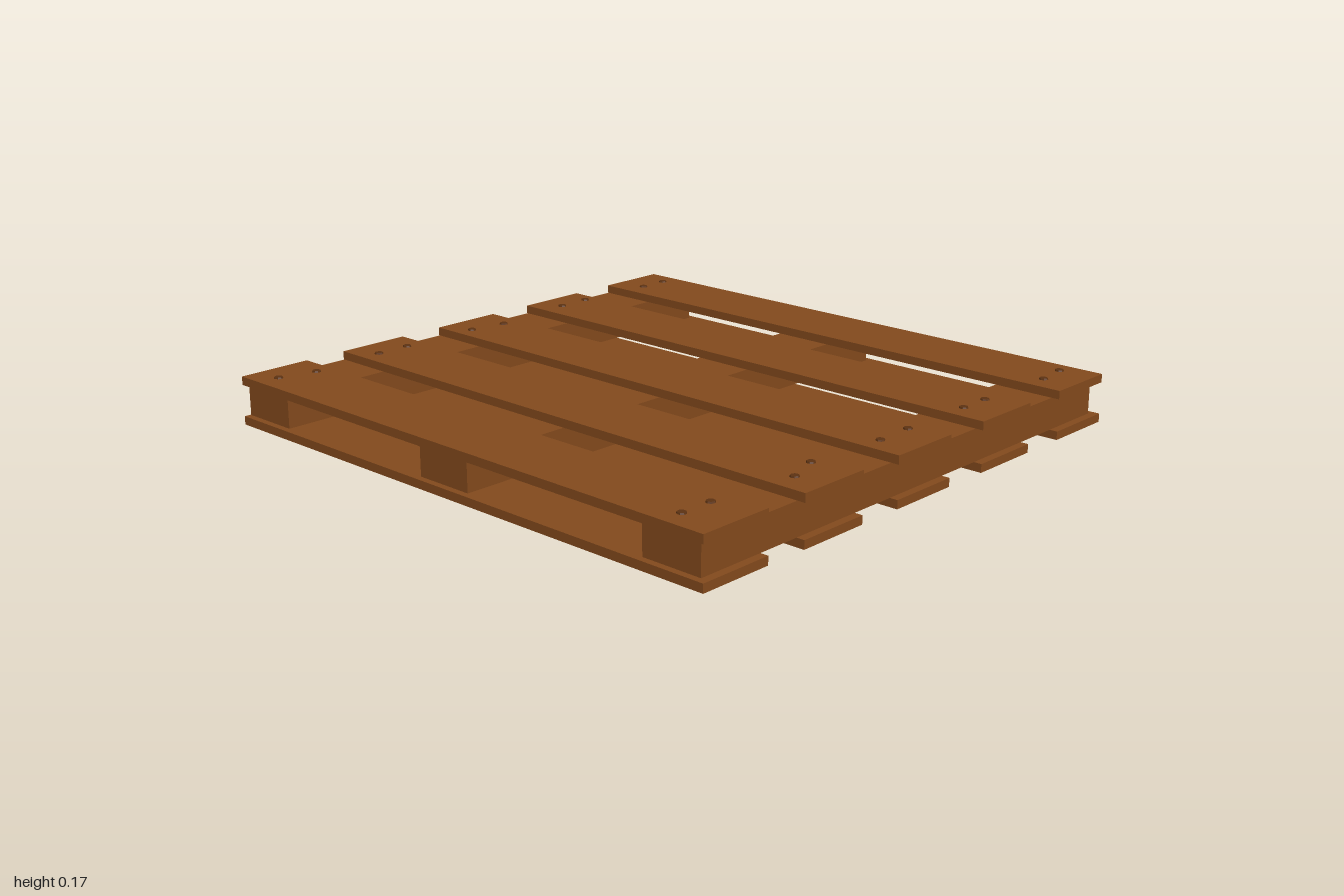
import * as THREE from 'three';

export function createModel() {
  const pallet = new THREE.Group();
  pallet.name = 'pallet';
  const wood = new THREE.MeshStandardMaterial({ color: 0x82491c, flatShading: true });
  const nailBrown = new THREE.MeshStandardMaterial({ color: 0x5c3212, flatShading: true });

  function addBox(name, x0, x1, y0, y1, z0, z1) {
    const mesh = new THREE.Mesh(new THREE.BoxGeometry(x1 - x0, y1 - y0, z1 - z0), wood);
    mesh.position.set((x0 + x1) / 2, (y0 + y1) / 2, (z0 + z1) / 2);
    mesh.name = name;
    pallet.add(mesh);
  }

  // Three cross beams
  [['front', 0.765, 0.973], ['middle', -0.138, 0.07], ['back', -0.996, -0.788]].forEach(
    ([place, z0, z1]) => addBox(place + 'Beam', -0.935, 0.93, 0.034, 0.14, z0, z1));

  // Five deck boards above and five below
  [-0.83, -0.427, -0.011, 0.408, 0.828].forEach((x, i) => {
    addBox('topBoard' + (i + 1), x - 0.127, x + 0.127, 0.14, 0.168, -1, 1);
    addBox('bottomBoard' + (i + 1), x - 0.127, x + 0.127, 0.006, 0.034, -1, 1);
  });

  // Nail heads, hand-placed as [x, z], on both faces of the pallet
  const nails = [
    [-0.886, -0.9], [-0.76, -0.87], [-0.49, -0.89], [-0.37, -0.89], [-0.08, -0.89],
    [0.05, -0.87], [0.365, -0.9], [0.485, -0.903], [0.78, -0.886], [0.887, -0.886],
    [-0.886, 0.86], [-0.775, 0.86], [-0.473, 0.896], [-0.352, 0.855], [-0.067, 0.88],
    [0.072, 0.876], [0.352, 0.88], [0.465, 0.88], [0.777, 0.893], [0.893, 0.88],
  ];
  const head = new THREE.CylinderGeometry(0.013, 0.018, 0.012, 8);
  nails.forEach(([x, z], i) => {
    const top = new THREE.Mesh(head, nailBrown);
    top.name = 'topNail' + (i + 1);
    top.position.set(x, 0.167, z);
    top.rotation.y = i * 1.3;
    const bottom = new THREE.Mesh(head, nailBrown);
    bottom.name = 'bottomNail' + (i + 1);
    bottom.position.set(x, 0.006, z);
    bottom.rotation.set(Math.PI, i * 1.3, 0);
    pallet.add(top, bottom);
  });

  return pallet;
}
